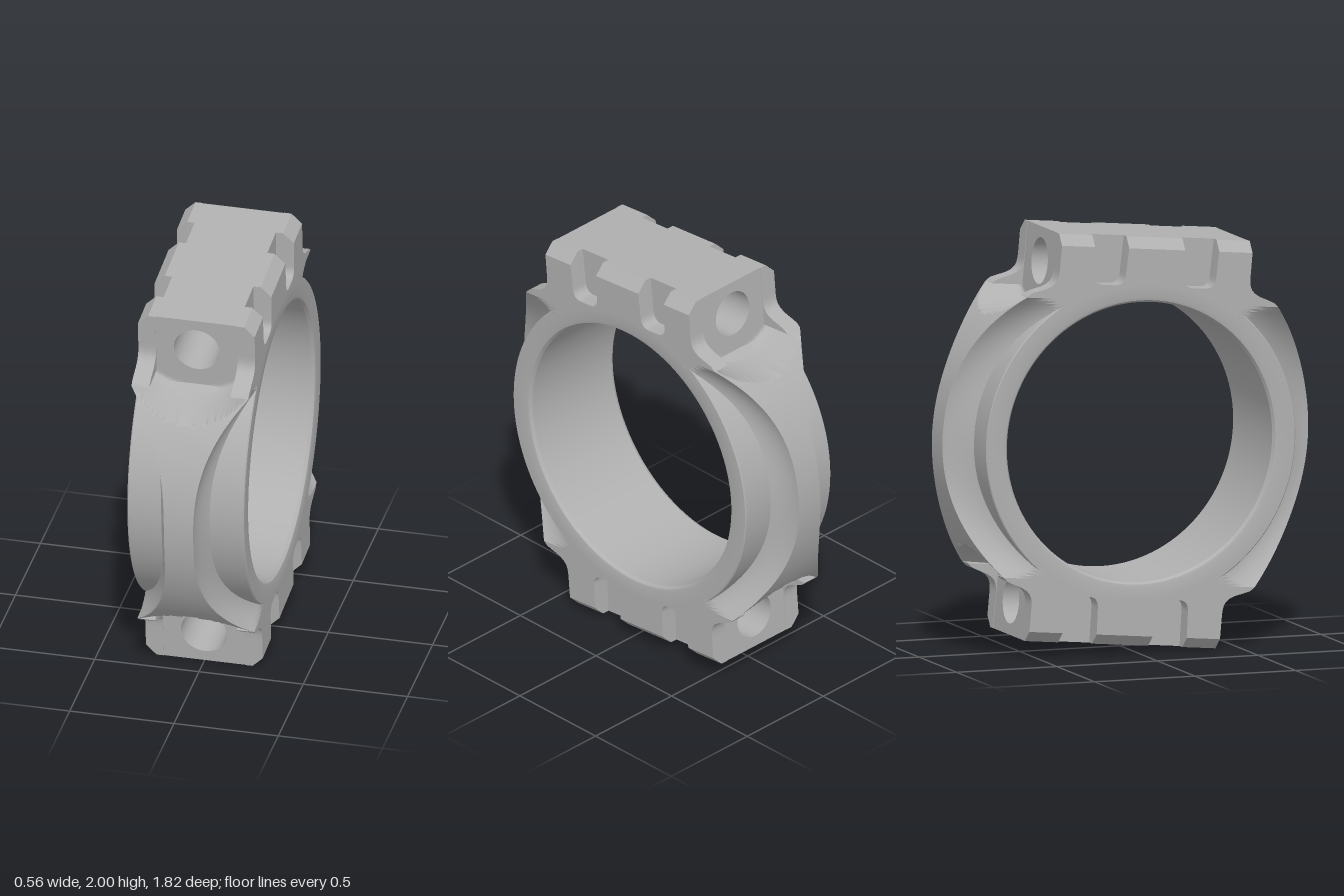
import * as THREE from 'three';
import { toCreasedNormals } from 'three/addons/utils/BufferGeometryUtils.js';

const W = 0.28;          // half width of the clamp
const TOP = 0.96;        // bolt block height above the bore axis
const END = 0.474;       // bolt seat distance from the middle
const BOLT_Y = 0.8, BOLT_R = 0.11;
const OUTER = 0.91, SPLIT = 0.66;
const TILT = 0.0893;

const steel = new THREE.MeshStandardMaterial({ color: 0xb0b0b0, side: THREE.DoubleSide });
steel.name = 'steel grey';

// Half width of the outer band: a narrow waist that flares into the blocks
function bandWidth(y) {
  if (y > 0.91) return W - (y - 0.91);
  return Math.min(W, 0.07 + 0.73 * y ** 3);
}

// Outer surface: round band, scooped out around the bolt seat
function outerZ(x, y) {
  const d = Math.hypot(0.75 * x, Math.min(0, y - BOLT_Y));
  const scoop = END + 0.25 * (Math.max(0, d - 0.2) / 0.05) ** 3;
  const band = Math.sqrt(Math.max(0, OUTER ** 2 - y * y));
  return Math.max(END, Math.min(Math.max(band, y > 0.75 ? scoop : 0), scoop));
}

// Grid surface from rows of points
function patch(rows) {
  const n = rows[0].length, index = [];
  for (let i = 0; i < rows.length - 1; i++)
    for (let j = 0; j < n - 1; j++) {
      const a = i * n + j, b = a + n;
      index.push(a, a + 1, b, a + 1, b + 1, b);
    }
  const g = new THREE.BufferGeometry();
  g.setAttribute('position', new THREE.Float32BufferAttribute(rows.flat(2), 3));
  g.setIndex(index);
  return toCreasedNormals(g, 0.6);
}

const steps = (n, f) => Array.from({ length: n + 1 }, (_, i) => f(i / n));

// One eighth of the outer surface, leaving the bolt hole open
function bandSurface() {
  const ys = [
    ...steps(60, t => t * (BOLT_Y - BOLT_R)),
    ...steps(20, t => BOLT_Y - BOLT_R * Math.cos(t * Math.PI)).slice(1),
    TOP,
  ];
  return patch(ys.map(y => {
    const hole = Math.sqrt(Math.max(0, BOLT_R ** 2 - (y - BOLT_Y) ** 2));
    const w = bandWidth(y);
    return steps(28, s => {
      const x = hole + (w - hole) * s;
      return [x, y, outerZ(x, y)];
    });
  }));
}

// Hollowed flank between the bearing ring and the edge of the band
function bandFlank() {
  return patch(steps(50, t => {
    const y = t * SPLIT, w = bandWidth(y);
    const inner = Math.sqrt(0.75 ** 2 - y * y), outer = outerZ(w, y);
    return steps(10, u => [Math.min(W, w + 0.06 * (1 - u) ** 2), y, outer + (inner - outer) * (1 - u)]);
  }));
}

// Side outline of a bolt block with two open pockets
function blockOutline() {
  const s = new THREE.Shape();
  const edge = steps(20, t => SPLIT + t * (TOP - SPLIT)).map(y => [outerZ(W, y), y]);
  const r = 0.74, a = Math.asin(SPLIT / r);
  s.moveTo(...edge[0]);
  edge.slice(1).forEach(p => s.lineTo(...p));
  for (const c of [0.225, -0.225]) {
    s.lineTo(c + 0.085, TOP);
    s.lineTo(c + 0.08, 0.79);
    s.quadraticCurveTo(c + 0.08, 0.734, c + 0.03, 0.734);
    s.lineTo(c - 0.03, 0.734);
    s.quadraticCurveTo(c - 0.08, 0.734, c - 0.08, 0.79);
    s.lineTo(c - 0.085, TOP);
  }
  edge.reverse().forEach(([z, y]) => s.lineTo(-z, y));
  steps(24, t => Math.PI - a + t * (2 * a - Math.PI))
    .forEach(q => s.lineTo(r * Math.cos(q), r * Math.sin(q)));
  return s;
}

function blockSide(x0, x1, chamfer) {
  const g = new THREE.ExtrudeGeometry(blockOutline(), { depth: x1 - x0, bevelEnabled: false, curveSegments: 8 });
  g.rotateY(Math.PI / 2).translate(x0, 0, 0);
  const p = g.attributes.position;
  if (chamfer)
    for (let i = 0; i < p.count; i++)
      if (p.getX(i) > x1 - 0.001) p.setY(i, Math.min(p.getY(i), TOP - 0.05));
  return toCreasedNormals(g, 0.5);
}

// Block core drilled lengthwise for the bolt
function blockCore() {
  const s = new THREE.Shape();
  s.moveTo(-0.195, 0.68).lineTo(0.195, 0.68).lineTo(0.195, TOP).lineTo(-0.195, TOP).closePath();
  s.holes.push(new THREE.Path().absarc(0, BOLT_Y, BOLT_R, 0, Math.PI * 2, true));
  const len = 2 * END - 0.004;
  const g = new THREE.ExtrudeGeometry(s, { depth: len, bevelEnabled: false, curveSegments: 24 });
  g.translate(0, 0, -len / 2);
  return toCreasedNormals(g, 0.5);
}

// Turned profile of [radius, x] points around the bore axis
function turned(profile, segments, start, length) {
  const pts = profile.map(p => new THREE.Vector2(...p));
  const g = new THREE.LatheGeometry(pts, segments, start, length);
  return toCreasedNormals(g.rotateZ(Math.PI / 2), 0.5);
}

export function createModel() {
  const body = new THREE.Group();
  body.name = 'clampBody';
  const add = (name, geometry, sx = 1, sy = 1, sz = 1) => {
    const m = new THREE.Mesh(geometry, steel);
    m.name = name;
    m.scale.set(sx, sy, sz);
    body.add(m);
  };

  // Bore with rounded rims
  add('bearingBore', turned([
    [0.745, -W], [0.685, -W], [0.67, -0.276], [0.66, -0.26],
    [0.66, 0.26], [0.67, 0.276], [0.685, W], [0.745, W],
  ], 128, 0, Math.PI * 2));

  // Exposed outer wall of the ring, front and back
  const reach = Math.asin(SPLIT / 0.745);
  const wall = turned([[0.745, -W], [0.765, -W], [0.77, -0.275], [0.77, 0.275], [0.765, W], [0.745, W]],
    64, -reach, 2 * reach);

  const surface = bandSurface(), flank = bandFlank(), core = blockCore();
  const innerSide = blockSide(0.195, 0.23, false), outerSide = blockSide(0.23, W, true);

  for (const sz of [1, -1]) {
    add('ringWall', wall, 1, 1, sz);
    for (const sx of [1, -1])
      for (const sy of [1, -1]) {
        add('outerBand', surface, sx, sy, sz);
        add('bandFlank', flank, sx, sy, sz);
      }
  }
  for (const sy of [1, -1]) {
    add('boltBlockCore', core, 1, sy, 1);
    for (const sx of [1, -1]) {
      add('boltBlockInnerSide', innerSide, sx, sy, 1);
      add('boltBlockOuterSide', outerSide, sx, sy, 1);
    }
  }

  // The bolts run at a slight tilt
  body.rotation.x = TILT;
  body.position.y = 1;
  const model = new THREE.Group();
  model.name = 'bearingClamp';
  model.add(body);
  return model;
}
